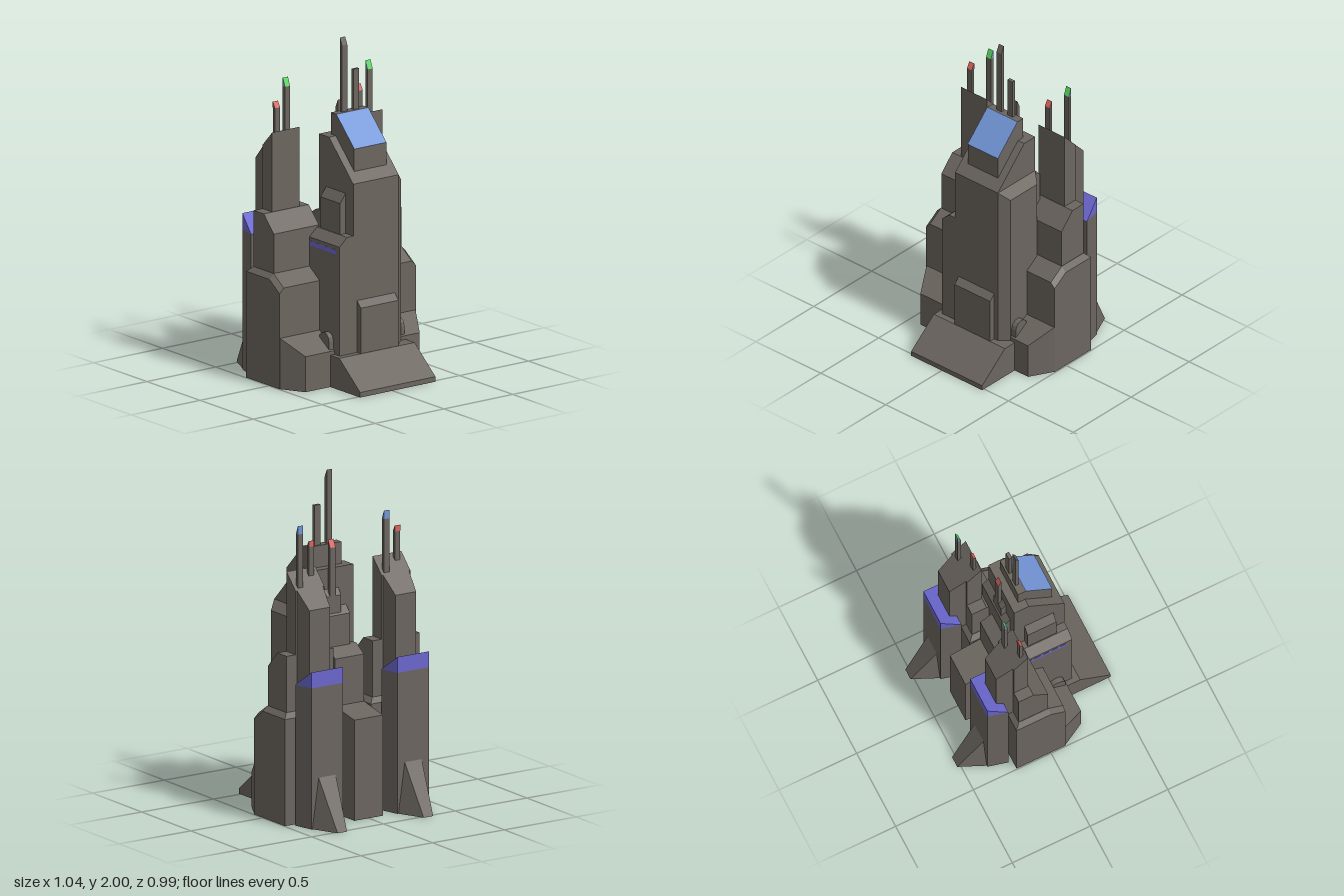
import * as THREE from 'three';
import { ConvexGeometry } from 'three/addons/geometries/ConvexGeometry.js';

const mat = (name, color) => {
  const m = new THREE.MeshStandardMaterial({ color, side: THREE.DoubleSide });
  m.name = name;
  return m;
};

// Convex shell without its flat underside
function openShell(pts) {
  const src = new ConvexGeometry(pts.map(p => new THREE.Vector3(...p))).getAttribute('position').array;
  const floor = Math.min(...pts.map(p => p[1])) + 1e-4;
  const kept = [];
  for (let i = 0; i < src.length; i += 9) {
    if (Math.max(src[i + 1], src[i + 4], src[i + 7]) > floor) kept.push(...src.slice(i, i + 9));
  }
  const geo = new THREE.BufferGeometry();
  geo.setAttribute('position', new THREE.Float32BufferAttribute(kept, 3));
  geo.computeVertexNormals();
  return geo;
}

export function createModel() {
  const stone = mat('greyStone', 0x6b655f);
  const violet = mat('violetGlow', 0x6a66cc);
  const blue = mat('blueGlass', 0x7396d8);
  const green = mat('greenBeacon', 0x5fd862);
  const red = mat('redBeacon', 0xdd6360);

  const root = new THREE.Group();
  root.name = 'citadel';

  // Open-bottomed solid spanning a set of corners
  const hull = (parent, name, material, pts) => {
    const mesh = new THREE.Mesh(openShell(pts), material);
    mesh.name = name;
    parent.add(mesh);
  };
  // Profile in x,y swept from z0 to z1
  const prismZ = (parent, name, material, prof, z0, z1) =>
    hull(parent, name, material, prof.flatMap(([x, y]) => [[x, y, z0], [x, y, z1]]));
  // Profile in z,y swept from x0 to x1
  const prismX = (parent, name, material, prof, x0, x1) =>
    hull(parent, name, material, prof.flatMap(([z, y]) => [[x0, y, z], [x1, y, z]]));
  // Points mirrored across z
  const both = pts => pts.flatMap(([x, y, z]) => [[x, y, z], [x, y, -z]]);

  // Thin mast with a slanted top; yL and yR are the heights of its two x sides
  const mast = (parent, name, x0, x1, z0, z1, base, yL, yR, tip) => {
    const low = Math.min(yL, yR);
    prismZ(parent, name, stone, [[x0, base], [x1, base], [x1, low], [x0, low]], z0, z1);
    prismZ(parent, name + 'Tip', tip, [[x0, low], [x1, low], yL > yR ? [x0, yL] : [x1, yR]], z0, z1);
  };
  // Thin coloured plate between two x,y points
  const plate = (parent, name, material, [xa, ya], [xb, yb], z0, z1, dx) =>
    prismZ(parent, name, material, [[xa, ya], [xb, yb], [xb + dx, yb], [xa + dx, ya]], z0, z1);

  // ---- Side towers: two identical copies ----
  for (const [label, z] of [['front', 0.3], ['back', -0.3]]) {
    const t = new THREE.Group();
    t.name = label + 'SideTower';
    t.position.z = z;
    root.add(t);

    hull(t, 'towerBase', stone, both([
      [-0.22, 0, 0.195], [0.095, 0, 0.195], [-0.22, 0.635, 0.195], [0, 0.635, 0.195], [0.095, 0.57, 0.195],
      [-0.19, 0.665, 0.165], [0, 0.665, 0.165], [0.095, 0.6, 0.165]]));
    hull(t, 'basePorch', stone, both([
      [0.09, 0, 0.195], [0.09, 0.307, 0.195], [0.235, 0, 0.115], [0.235, 0.212, 0.115]]));
    prismZ(t, 'middleTier', stone,
      [[-0.19, 0.65], [0, 0.65], [0, 0.9], [-0.095, 1], [-0.19, 1]], -0.163, 0.163);
    prismZ(t, 'upperTier', stone,
      [[-0.19, 0.95], [-0.098, 0.95], [-0.098, 1.475], [-0.19, 1.38]], -0.1, 0.1);
    hull(t, 'rearShaft', stone, both([
      [-0.29, 0, 0.072], [-0.18, 0, 0.092], [-0.29, 1.28, 0.072], [-0.18, 1.39, 0.092]]));

    // Rear slab with a glowing slanted cap
    hull(t, 'rearSlab', stone, both([
      [-0.365, 0, 0.11], [-0.245, 0, 0.14], [-0.365, 0.84, 0.11], [-0.245, 0.84, 0.14]]));
    hull(t, 'slabCap', violet, both([
      [-0.365, 0.84, 0.11], [-0.245, 0.84, 0.14], [-0.365, 0.935, 0.11]]));
    hull(t, 'buttress', stone, both([
      [-0.52, 0, 0.033], [-0.36, 0, 0.105], [-0.36, 0.31, 0.06]]));

    // Masts with beacons
    mast(t, 'tallMast', -0.18, -0.16, -0.077, -0.04, 1.3, 1.76, 1.71, blue);
    plate(t, 'tallBeacon', green, [-0.18, 1.76], [-0.16, 1.71], -0.077, -0.04, 0.001);
    mast(t, 'shortMast', -0.135, -0.115, 0.03, 0.067, 1.3, 1.645, 1.61, stone);
    plate(t, 'shortBeacon', red, [-0.135, 1.645], [-0.115, 1.61], 0.03, 0.067, 0.001);
    plate(t, 'shortBeaconBack', red, [-0.135, 1.645], [-0.135, 1.61], 0.03, 0.067, -0.001);
  }

  // ---- Main tower ----
  const main = new THREE.Group();
  main.name = 'mainTower';
  root.add(main);

  prismZ(main, 'mainShaft', stone,
    [[-0.04, 0], [0.283, 0], [0.283, 1.2], [0.055, 1.43], [-0.04, 1.43]], -0.225, 0.105);
  hull(main, 'backShaft', stone,
    [[-0.04, -0.225, 1.2], [0.005, -0.28, 1.15], [0.235, -0.28, 1.15], [0.283, -0.225, 1.2]]
      .flatMap(([x, z, y]) => [[x, 0, z], [x, y, z]]));
  prismX(main, 'frontTier', stone,
    [[0.1, 0], [0.205, 0], [0.205, 0.84], [0.15, 0.89], [0.1, 0.89]], 0, 0.283);
  prismX(main, 'frontStripe', violet,
    [[0.2045, 0.79], [0.206, 0.79], [0.206, 0.817], [0.2045, 0.817]], 0, 0.25);
  prismX(main, 'frontBalcony', stone,
    [[0.1, 0.88], [0.145, 0.88], [0.145, 1.075], [0.105, 1.13], [0.1, 1.13]], 0.027, 0.212);

  // Crown with sloping glass roof
  prismZ(main, 'crown', stone,
    [[0.01, 1.25], [0.228, 1.25], [0.228, 1.39], [0.058, 1.56], [0.01, 1.56]], -0.177, 0.056);
  plate(main, 'crownGlass', blue, [0.058, 1.56], [0.228, 1.39], -0.177, 0.056, 0.002);
  mast(main, 'greatSpire', 0.021, 0.042, -0.038, 0, 1.5, 2, 1.955, stone);
  prismZ(main, 'lesserSpire', stone,
    [[0.021, 1.5], [0.042, 1.5], [0.042, 1.8], [0.021, 1.8]], -0.124, -0.083);

  // Rear wall steps and aerial
  prismZ(main, 'rearRib', stone, [[-0.08, 0], [-0.03, 0], [-0.03, 1.21], [-0.08, 1.155]], -0.225, 0.055);
  prismZ(main, 'rearAerialBase', stone, [[-0.07, 1.1], [-0.03, 1.1], [-0.03, 1.32], [-0.07, 1.27]], -0.1, 0.0);
  mast(main, 'rearAerial', -0.07, -0.049, -0.078, -0.04, 1.2, 1.56, 1.605, stone);
  plate(main, 'rearBeacon', red, [-0.07, 1.56], [-0.049, 1.605], -0.078, -0.04, -0.001);

  // Blocks linking the side towers
  prismZ(root, 'linkUpper', stone,
    [[-0.155, 0], [-0.03, 0], [-0.03, 0.97], [-0.08, 0.97], [-0.155, 0.92]], -0.1, 0.1);
  prismZ(root, 'linkLower', stone, [[-0.35, 0], [-0.15, 0], [-0.15, 0.64], [-0.35, 0.6]], -0.1, 0.1);

  // ---- Entrance side ----
  prismZ(root, 'rampPlinth', stone,
    [[0.13, 0], [0.516, 0], [0.516, 0.03], [0.32, 0.19], [0.13, 0.19]], -0.312, 0.235);
  prismZ(root, 'gateBlock', stone,
    [[0.26, 0.15], [0.318, 0.15], [0.318, 0.462], [0.283, 0.5], [0.26, 0.5]], -0.197, 0.077);
  const arch = [[0.13, 0.1], [0.225, 0.1]];
  for (let i = 0; i <= 6; i++) {
    const a = Math.PI * i / 6;
    arch.push([0.1775 + 0.0475 * Math.cos(a), 0.267 + 0.0475 * Math.sin(a)]);
  }
  prismZ(root, 'archedPassage', stone, arch, -0.312, 0.236);

  return root;
}
